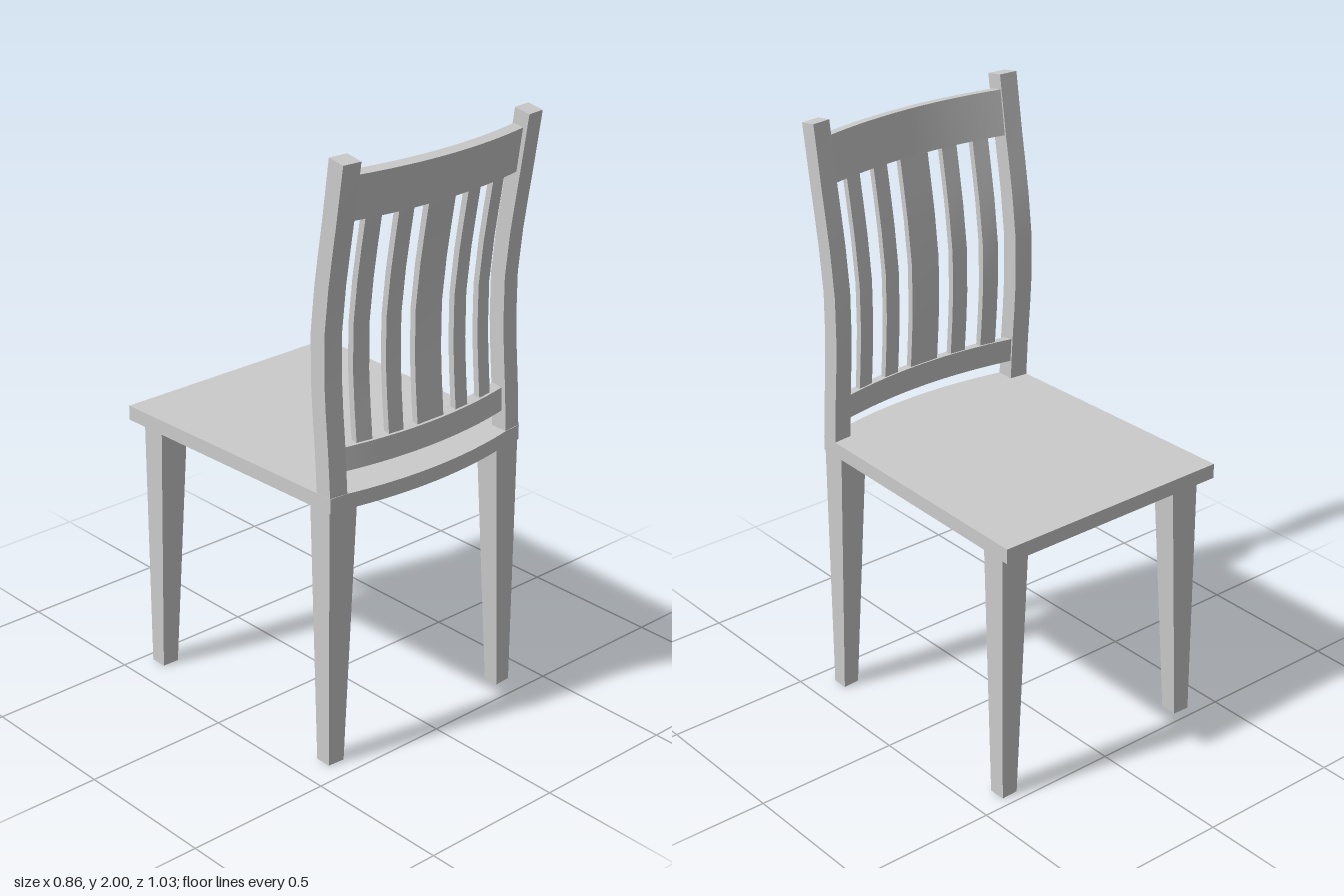
import * as THREE from 'three';
import { toCreasedNormals } from 'three/addons/utils/BufferGeometryUtils.js';

const material = new THREE.MeshStandardMaterial({ color: 0xcccccc });

// Side curve of the backrest: [height, depth of the post centre]
const curve = [[0.93, 0.408], [1.08, 0.399], [1.2, 0.389], [1.3, 0.383], [1.45, 0.383],
  [1.6, 0.4], [1.7, 0.416], [1.8, 0.433], [2, 0.463]];

function backZ(y) {
  let i = 1;
  while (i < curve.length - 1 && y > curve[i][0]) i++;
  return THREE.MathUtils.mapLinear(y, curve[i - 1][0], curve[i][0], curve[i - 1][1], curve[i][1]);
}

// Bow of the backrest across its width
const bow = (x) => 0.038 * (1 - (x / 0.34) ** 2);

// Closed solid through a row of four-cornered sections
function loft(name, rings) {
  const n = rings[0].length;
  const index = [];
  for (let r = 0; r < rings.length - 1; r++) {
    for (let i = 0; i < n; i++) {
      const a = r * n + i, b = r * n + (i + 1) % n;
      index.push(a, b, b + n, a, b + n, a + n);
    }
  }
  const e = (rings.length - 1) * n;
  index.push(0, 2, 1, 0, 3, 2, e, e + 1, e + 2, e, e + 2, e + 3);
  const geo = new THREE.BufferGeometry();
  geo.setAttribute('position', new THREE.Float32BufferAttribute(rings.flat(2), 3));
  geo.setIndex(index);
  const mesh = new THREE.Mesh(toCreasedNormals(geo, 0.3), material);
  mesh.name = name;
  return mesh;
}

// Horizontal section of a leg or post on one side, slightly skewed towards the middle
function section(side, y, inner, outer, z0, z1, skew = 0.007, drop = 0) {
  const ring = [[inner, y - drop, z1 + skew], [outer, y - drop, z1], [outer, y, z0], [inner, y, z0 + skew]]
    .map(([x, h, z]) => [x * side, h, z]);
  return side > 0 ? ring : ring.reverse();
}

// Bowed rail between the posts
function rail(name, y0, y1) {
  const rings = [];
  const t = 0.019;
  for (let i = 0; i <= 16; i++) {
    const x = -0.345 + 0.69 * i / 16;
    const a = backZ(y0) + bow(x), b = backZ(y1) + bow(x);
    rings.push([[x, y0, a + t], [x, y0, a - t], [x, y1 + 0.003, b - t], [x, y1 - 0.003, b + t]]);
  }
  return loft(name, rings);
}

// Upright slat following both curves of the backrest
function slat(name, x0, x1) {
  const t = 0.011;
  const rings = [1.04, ...curve.slice(1, -1).map((p) => p[0]), 1.85].map((y) => {
    const a = backZ(y) + bow(x0), b = backZ(y) + bow(x1);
    return [[x0, y, a + t], [x1, y, b + t], [x1, y, b - t], [x0, y, a - t]];
  });
  return loft(name, rings);
}

export function createModel() {
  const chair = new THREE.Group();
  chair.name = 'chair';

  // Seat: tapered board with a bowed edge under the backrest
  const shape = new THREE.Shape();
  shape.moveTo(-0.428, 0.515);
  shape.lineTo(-0.404, -0.439);
  for (let i = 0; i <= 16; i++) {
    const x = -0.34 + 0.68 * i / 16;
    shape.lineTo(x, -0.444 - bow(x));
  }
  shape.lineTo(0.404, -0.439);
  shape.lineTo(0.428, 0.515);
  const seatGeo = new THREE.ExtrudeGeometry(shape, { depth: 0.05, bevelEnabled: false });
  seatGeo.rotateX(-Math.PI / 2);
  const seat = new THREE.Mesh(toCreasedNormals(seatGeo, 0.15), material);
  seat.name = 'seat';
  seat.position.y = 0.885;
  chair.add(seat);

  // Legs and backrest posts, mirrored
  for (const side of [1, -1]) {
    const label = side > 0 ? 'left' : 'right';
    chair.add(loft(label + 'SeatLeg', [
      section(side, 0, 0.345, 0.404, -0.465, -0.407, 0.002),
      section(side, 0.89, 0.3, 0.404, -0.465, -0.377, 0.002),
    ]));
    chair.add(loft(label + 'BackrestLeg', [
      section(side, 0, 0.345, 0.404, 0.375, 0.43, 0.004),
      section(side, 0.89, 0.3, 0.404, 0.347, 0.434, 0.008),
    ]));
    chair.add(loft(label + 'Post', curve.map(([y, z]) =>
      section(side, y, 0.34, 0.404, z - 0.031, z + 0.029, 0.006, y === 2 ? 0.01 : 0))));
  }

  // Backrest rails and slats
  chair.add(rail('lowerRail', 1.0, 1.08));
  chair.add(rail('topRail', 1.8, 1.947));
  chair.add(slat('centreSlat', -0.055, 0.055));
  for (const [x0, x1] of [[0.111, 0.167], [0.228, 0.284]]) {
    chair.add(slat('leftSlat', x0, x1));
    chair.add(slat('rightSlat', -x1, -x0));
  }
  return chair;
}
